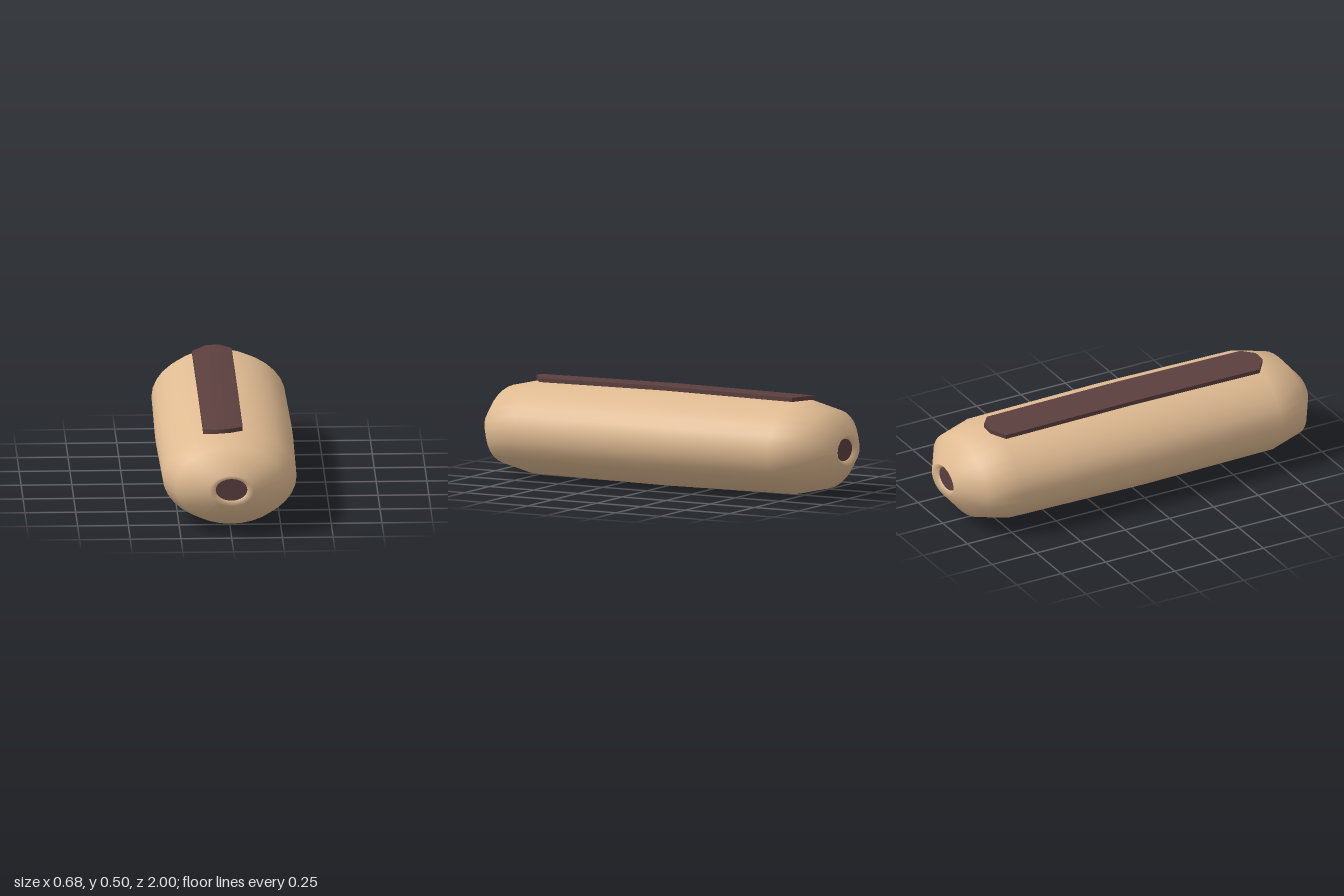
import * as THREE from 'three';

const CENTRE_Y = 0.241, RX = 0.34, RY = 0.24;

// Revolves [radius, z] points into an elliptical solid lying along z
function ellipticalLathe(points, material, name) {
  const geometry = new THREE.LatheGeometry(points.map(([r, z]) => new THREE.Vector2(r, z)), 32);
  geometry.rotateX(Math.PI / 2);
  geometry.scale(1, RY / RX, 1);
  const mesh = new THREE.Mesh(geometry, material);
  mesh.position.y = CENTRE_Y;
  mesh.name = name;
  return mesh;
}

export function createModel() {
  const group = new THREE.Group();
  group.name = 'filledPastry';
  const dough = new THREE.MeshStandardMaterial({ color: 0xe0bb92, side: THREE.DoubleSide });
  const chocolate = new THREE.MeshStandardMaterial({ color: 0x5c3f3f });

  // Bun with a rounded lip turning in at both ends
  const half = [[0.33, 0.73], [0.275, 0.9], [0.11, 1], [0.075, 0.97]];
  const profile = [...half.map(([r, z]) => [r, -z]).reverse(), [RX, 0], ...half];
  group.add(ellipticalLathe(profile, dough, 'bun'));

  // Filling showing at both ends
  for (const side of [1, -1]) {
    const filling = new THREE.Mesh(new THREE.CircleGeometry(0.078, 32), chocolate);
    filling.scale.y = RY / RX;
    filling.position.set(0, CENTRE_Y, side * 0.975);
    if (side < 0) filling.rotation.y = Math.PI;
    filling.name = side > 0 ? 'frontFilling' : 'backFilling';
    group.add(filling);
  }

  // Glaze strip: a slab bent over the bun, with clipped corners
  const geometry = new THREE.BoxGeometry(0.195, 0.02, 1, 3, 1, 2);
  const p = geometry.attributes.position;
  for (let i = 0; i < p.count; i++) {
    const outer = Math.abs(p.getX(i)) > 0.05;
    const x = p.getX(i) - 0.0325;
    const end = Math.abs(p.getZ(i)) > 0.1;
    const dome = (end ? 0.233 : RY) * Math.sqrt(1 - (x / RX) ** 2);
    const lift = p.getY(i) > 0 ? 0.021 : 0;
    p.setXYZ(i, x, CENTRE_Y + dome + lift, Math.sign(p.getZ(i)) * (end ? (outer ? 0.715 : 0.767) : 0));
  }
  geometry.computeVertexNormals();
  const glaze = new THREE.Mesh(geometry, chocolate);
  glaze.name = 'glaze';
  group.add(glaze);
  return group;
}
